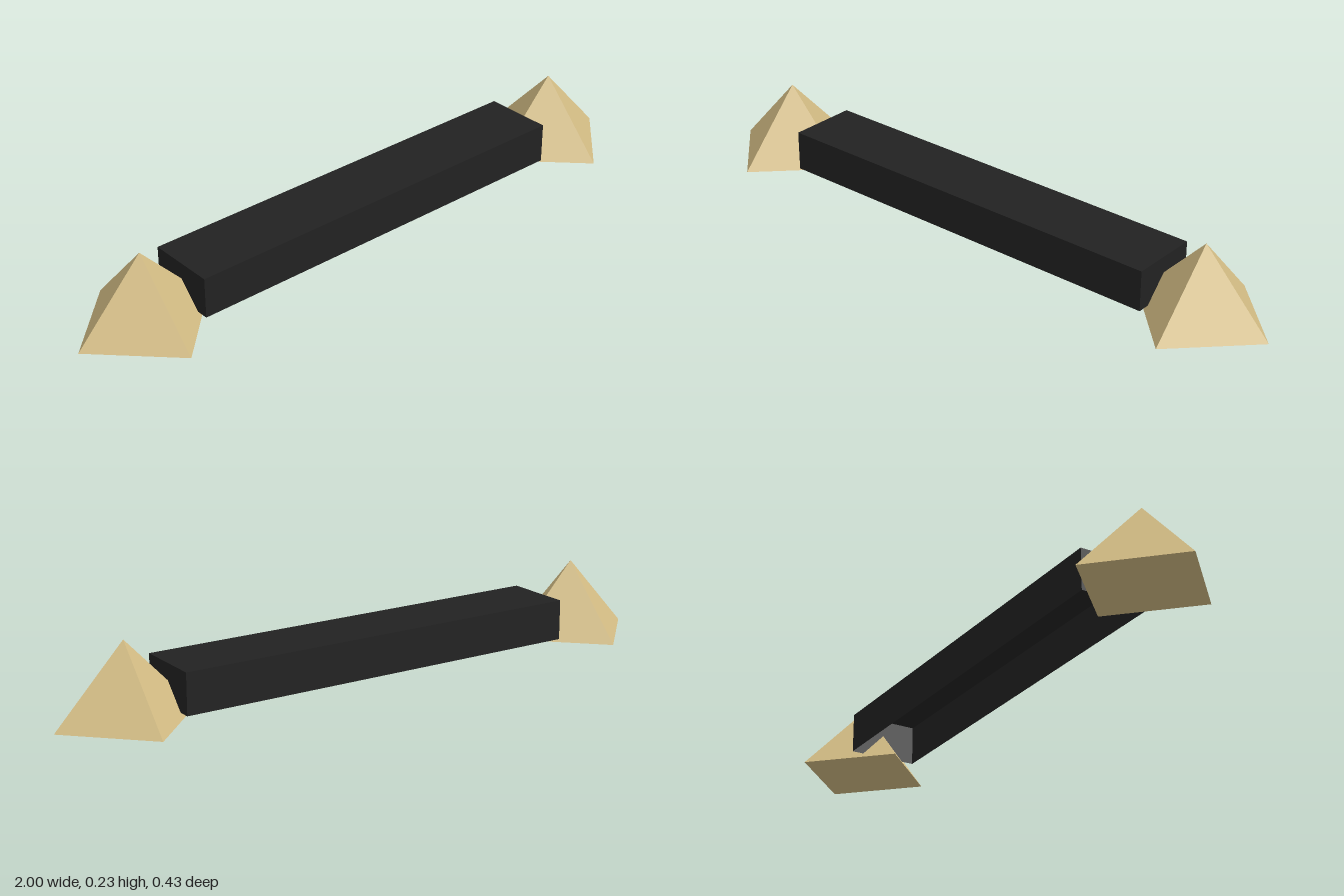
import * as THREE from 'three';

export function createModel() {
  const model = new THREE.Group();

  const black = new THREE.MeshStandardMaterial({ color: 0x222222, side: THREE.DoubleSide });
  black.name = 'black';
  const sand = new THREE.MeshStandardMaterial({ color: 0xd3bc84, flatShading: true });
  sand.name = 'sand';

  // Thin-walled bar, open underneath: a box without its bottom face
  const barGeometry = new THREE.BoxGeometry(1.312, 0.125, 0.215);
  const faces = Array.from(barGeometry.index.array);
  faces.splice(18, 6);
  barGeometry.setIndex(faces);
  barGeometry.clearGroups();
  const bar = new THREE.Mesh(barGeometry, black);
  bar.name = 'bar';
  bar.position.y = 0.0775;
  model.add(bar);

  // Four-sided pyramid feet at both ends, corners along the axes
  for (const side of [-1, 1]) {
    const foot = new THREE.Mesh(new THREE.ConeGeometry(0.214, 0.228, 4), sand);
    foot.name = side > 0 ? 'leftFoot' : 'rightFoot';
    foot.position.set(side * 0.786, 0.114, 0);
    model.add(foot);
  }

  return model;
}
